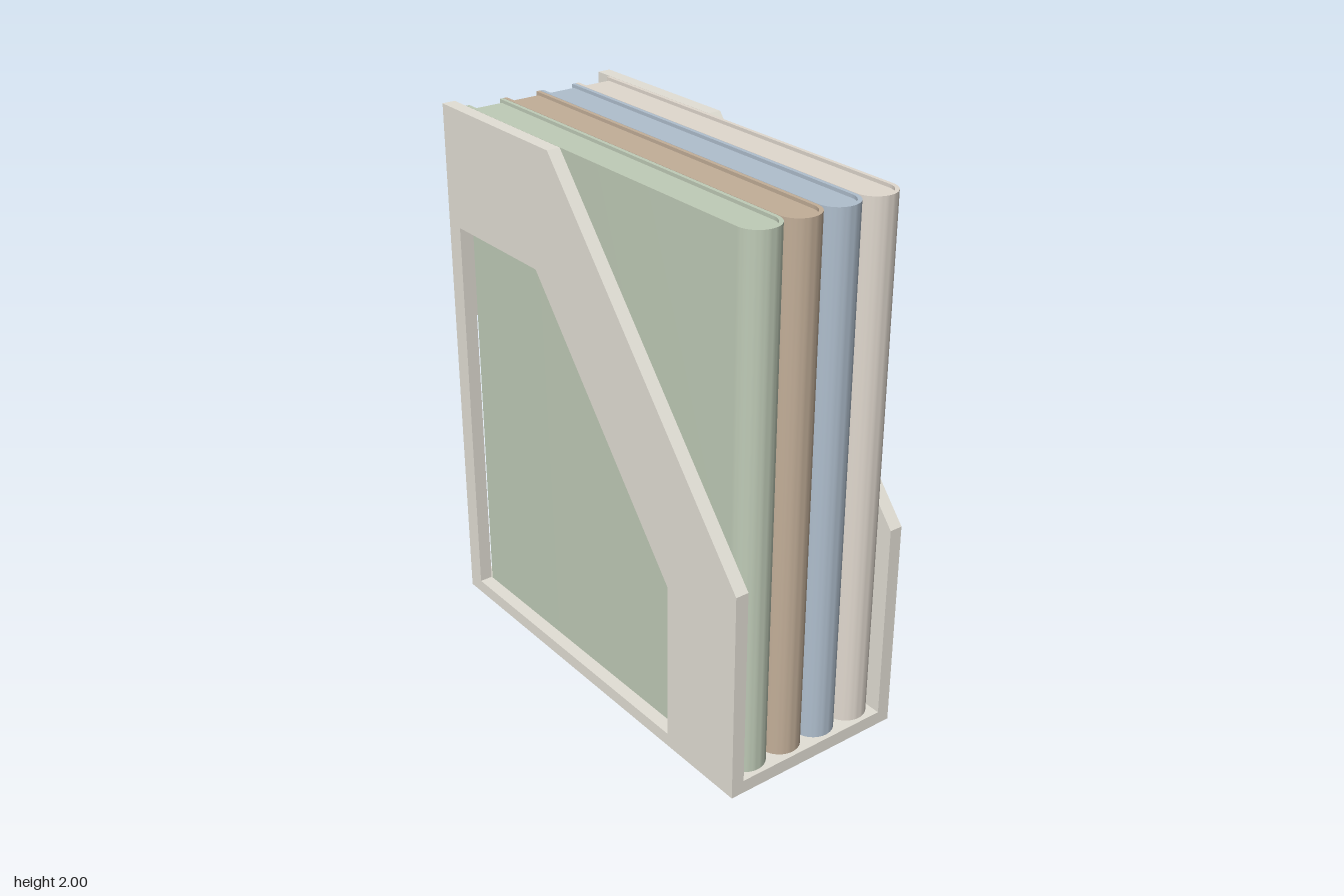
import * as THREE from 'three';
import { toCreasedNormals } from 'three/addons/utils/BufferGeometryUtils.js';

const W = 0.36, T = 0.05, D = 0.83, H = 2; // half width, wall, half depth, height
const BACK = 0.07;                         // thickness of the back
const IN = W - T;                          // inner half width

const polygon = (points) => points.map(([a, b]) => new THREE.Vector2(a, b));

function addBox(group, name, material, size, pos) {
  const mesh = new THREE.Mesh(new THREE.BoxGeometry(...size), material);
  mesh.name = name;
  mesh.position.set(...pos);
  group.add(mesh);
}

// Side wall with a slanted front and a large window, drawn in (z, y)
function sidePanelGeometry() {
  const shape = new THREE.Shape(polygon([[D, 0], [D, 0.8], [-0.17, H], [-D, H], [-D, 0]]));
  shape.holes.push(new THREE.Path(polygon(
    [[0.475, T], [0.475, 0.655], [-0.265, 1.555], [BACK - D, 1.555], [BACK - D, T]])));
  const geo = new THREE.ExtrudeGeometry(shape, { depth: T, bevelEnabled: false });
  return geo.rotateY(-Math.PI / 2);
}

// Upright extrusion of a plan drawn in (x, -z)
function upright(shape, y0, y1) {
  const geo = new THREE.ExtrudeGeometry(shape, { depth: y1 - y0, bevelEnabled: false, curveSegments: 16 });
  geo.rotateX(-Math.PI / 2).translate(0, y0, 0);
  return toCreasedNormals(geo, 0.6);
}

// A book: wrapped cover with a rounded spine, and a slightly recessed page block
function createBook(name, color, width) {
  const book = new THREE.Group();
  book.name = name;
  const material = new THREE.MeshStandardMaterial({ color });
  const r = width / 2, t = 0.014, ri = r - t;
  const spine = -0.812 + r, backEdge = 0.755;

  const cover = new THREE.Shape();
  cover.moveTo(r, backEdge);
  cover.lineTo(ri, backEdge);
  cover.lineTo(ri, spine);
  cover.absarc(0, spine, ri, 0, -Math.PI, true);
  cover.lineTo(-ri, backEdge);
  cover.lineTo(-r, backEdge);
  cover.lineTo(-r, spine);
  cover.absarc(0, spine, r, -Math.PI, 0, false);
  cover.closePath();

  const pages = new THREE.Shape();
  pages.moveTo(ri, backEdge - 0.012);
  pages.lineTo(-ri, backEdge - 0.012);
  pages.lineTo(-ri, spine);
  pages.absarc(0, spine, ri, -Math.PI, 0, false);
  pages.closePath();

  const coverMesh = new THREE.Mesh(upright(cover, T, H), material);
  coverMesh.name = 'cover';
  const pagesMesh = new THREE.Mesh(upright(pages, T, H - 0.012), material);
  pagesMesh.name = 'pages';
  book.add(coverMesh, pagesMesh);
  return book;
}

export function createModel() {
  const model = new THREE.Group();
  model.name = 'magazineHolder';
  const shell = new THREE.MeshStandardMaterial({ color: 0xe2dfd5 });

  // Holder: two side walls, floor, back band
  const holder = new THREE.Group();
  holder.name = 'holder';
  const panel = sidePanelGeometry();
  for (const [name, x] of [['leftPanel', W], ['rightPanel', -IN]]) {
    const mesh = new THREE.Mesh(panel, shell);
    mesh.name = name;
    mesh.position.x = x;
    holder.add(mesh);
  }
  addBox(holder, 'floor', shell, [2 * IN, T, 2 * D], [0, T / 2, 0]);
  addBox(holder, 'backBand', shell, [2 * IN, 0.365, BACK], [0, 1.3825, -D + BACK / 2]);
  model.add(holder);

  // Row of books filling the holder
  const colors = [0xbfcbb7, 0xc2ae98, 0xafbecd, 0xe0d8ce];
  const pitch = (2 * IN) / colors.length;
  colors.forEach((color, i) => {
    const book = createBook(`book${i + 1}`, color, pitch - 0.002);
    book.position.x = -IN + pitch * (i + 0.5);
    model.add(book);
  });
  return model;
}
